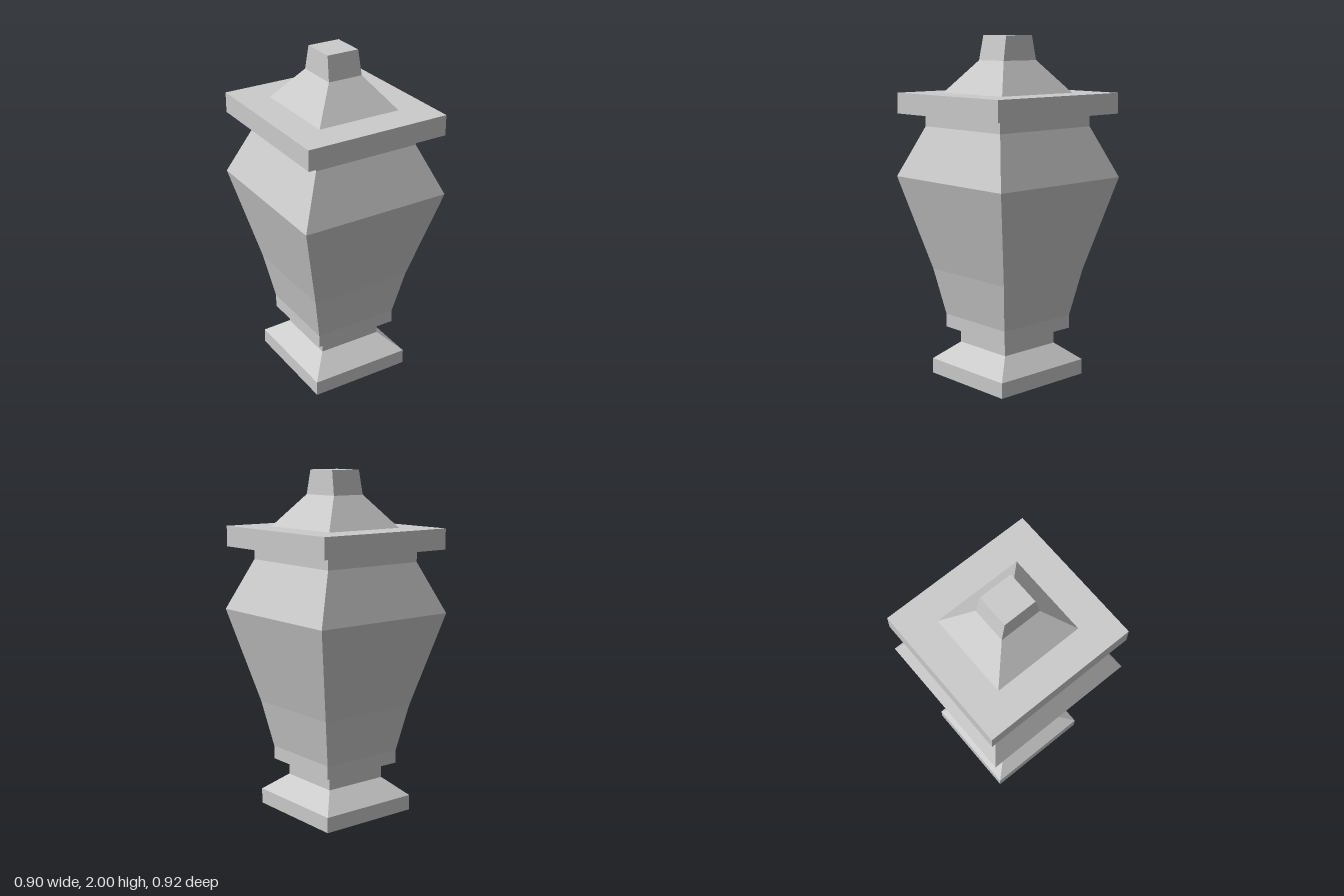
import * as THREE from 'three';

const material = new THREE.MeshStandardMaterial({ color: 0xcccccc, flatShading: true });

// Closed loft through rectangular rings, each [y, half width, half depth], bottom to top
function rectLoft(name, rings) {
  const corners = [[1, 1], [1, -1], [-1, -1], [-1, 1]];
  const point = (r, k) => [corners[k % 4][0] * r[1], r[0], corners[k % 4][1] * r[2]];
  const positions = [];
  const quad = (a, b, c, d) => positions.push(...a, ...b, ...c, ...a, ...c, ...d);

  for (let i = 0; i < rings.length - 1; i++) {
    const low = rings[i], high = rings[i + 1];
    for (let k = 0; k < 4; k++) {
      quad(point(low, k), point(low, k + 1), point(high, k + 1), point(high, k));
    }
  }
  const first = rings[0], last = rings[rings.length - 1];
  quad(...[3, 2, 1, 0].map((k) => point(first, k)));
  quad(...[0, 1, 2, 3].map((k) => point(last, k)));

  const geometry = new THREE.BufferGeometry();
  geometry.setAttribute('position', new THREE.Float32BufferAttribute(positions, 3));
  geometry.computeVertexNormals();
  const mesh = new THREE.Mesh(geometry, material);
  mesh.name = name;
  return mesh;
}

export function createModel() {
  const urn = new THREE.Group();
  urn.name = 'urn';

  // Square plinth sloping in to a short neck
  const foot = rectLoft('foot', [
    [0, 0.308, 0.322], [0.09, 0.308, 0.322], [0.193, 0.195, 0.196], [0.277, 0.195, 0.196],
  ]);
  foot.position.x = -0.003;

  // Tapered vase with a shoulder and a collar under the lid
  const body = rectLoft('body', [
    [0.276, 0.195, 0.196], [0.286, 0.256, 0.259], [0.365, 0.256, 0.259], [0.64, 0.31, 0.312],
    [1.19, 0.451, 0.46], [1.483, 0.32, 0.347], [1.556, 0.32, 0.347],
  ]);

  // Flat overhanging slab
  const lid = rectLoft('lid', [[1.556, 0.432, 0.462], [1.675, 0.432, 0.462]]);

  // Pyramid roof and blunt knob
  const finial = rectLoft('finial', [
    [1.675, 0.251, 0.27], [1.86, 0.104, 0.125], [2, 0.096, 0.099],
  ]);

  urn.add(foot, body, lid, finial);
  return urn;
}
